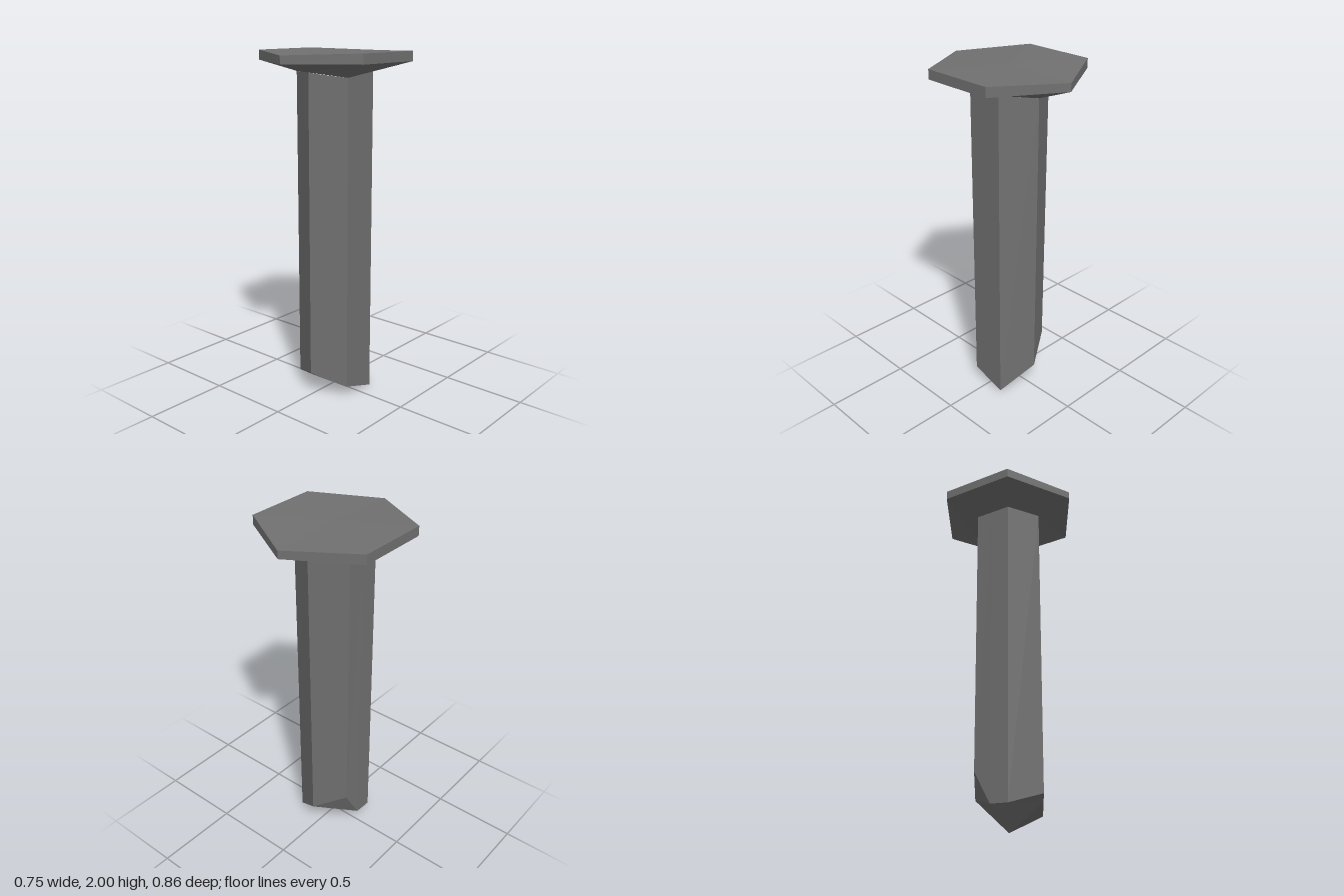
import * as THREE from 'three';

// Flat-shaded mesh from a list of points and index triangles
function facetedMesh(name, points, faces, material) {
  let geo = new THREE.BufferGeometry();
  geo.setAttribute('position', new THREE.Float32BufferAttribute(points.flat(), 3));
  geo.setIndex(faces.flat());
  geo = geo.toNonIndexed();
  geo.computeVertexNormals();
  const mesh = new THREE.Mesh(geo, material);
  mesh.name = name;
  return mesh;
}

// Outward wall triangles between two rings of n points (lower, then upper)
function wall(n, lower, upper) {
  const faces = [];
  for (let i = 0; i < n; i++) {
    const j = (i + 1) % n;
    faces.push([lower + i, lower + j, upper + j], [lower + i, upper + j, upper + i]);
  }
  return faces;
}

// Hexagon ring, first corner facing the front, with a height for each corner
function hexRing(radius, heights) {
  return heights.map((y, i) => {
    const a = (i * Math.PI) / 3;
    return [radius * Math.sin(a), y, radius * Math.cos(a)];
  });
}

export function createModel() {
  const group = new THREE.Group();
  group.name = 'stonePillar';
  const stone = new THREE.MeshStandardMaterial({ color: 0x707070 });
  stone.name = 'grey stone';
  stone.flatShading = true;

  // Shaft: hexagonal column with two extra points on the broken lower rim
  const broken = [
    [0, 0.14, 0.217], [0.063, 0.11, 0.18], [0.187, 0.068, 0.108], [0.187, 0, -0.108],
    [0, 0.155, -0.213], [-0.18, 0.26, -0.106], [-0.187, 0.072, 0], [-0.187, 0.065, 0.108],
  ];
  const neckY = [1.89, 1.88, 1.865, 1.89, 1.86, 1.885, 1.885, 1.885];
  const neck = broken.map(([x, , z], i) => [x, neckY[i], z]);
  neck[4] = [0, 1.86, -0.217];
  neck[5] = [-0.187, 1.885, -0.108];
  const breakFaces = [[0, 7, 1], [1, 7, 6], [1, 6, 4], [4, 6, 5], [1, 4, 3], [1, 3, 2]];
  group.add(facetedMesh('shaft', [...broken, ...neck], [...wall(8, 0, 8), ...breakFaces], stone));

  // Head: flared underside, thin rim and a shallow faceted top
  const head = [
    ...hexRing(0.216, [1.89, 1.865, 1.89, 1.86, 1.885, 1.885]),
    ...hexRing(0.432, [1.942, 1.945, 1.945, 1.942, 1.945, 1.945]),
    ...hexRing(0.432, [1.987, 2, 2, 1.987, 2, 2]),
    [0, 2, 0],
  ];
  const topFaces = [0, 1, 2, 3, 4, 5].map((i) => [12 + i, 12 + ((i + 1) % 6), 18]);
  group.add(facetedMesh('head', head, [...wall(6, 0, 6), ...wall(6, 6, 12), ...topFaces], stone));

  return group;
}
